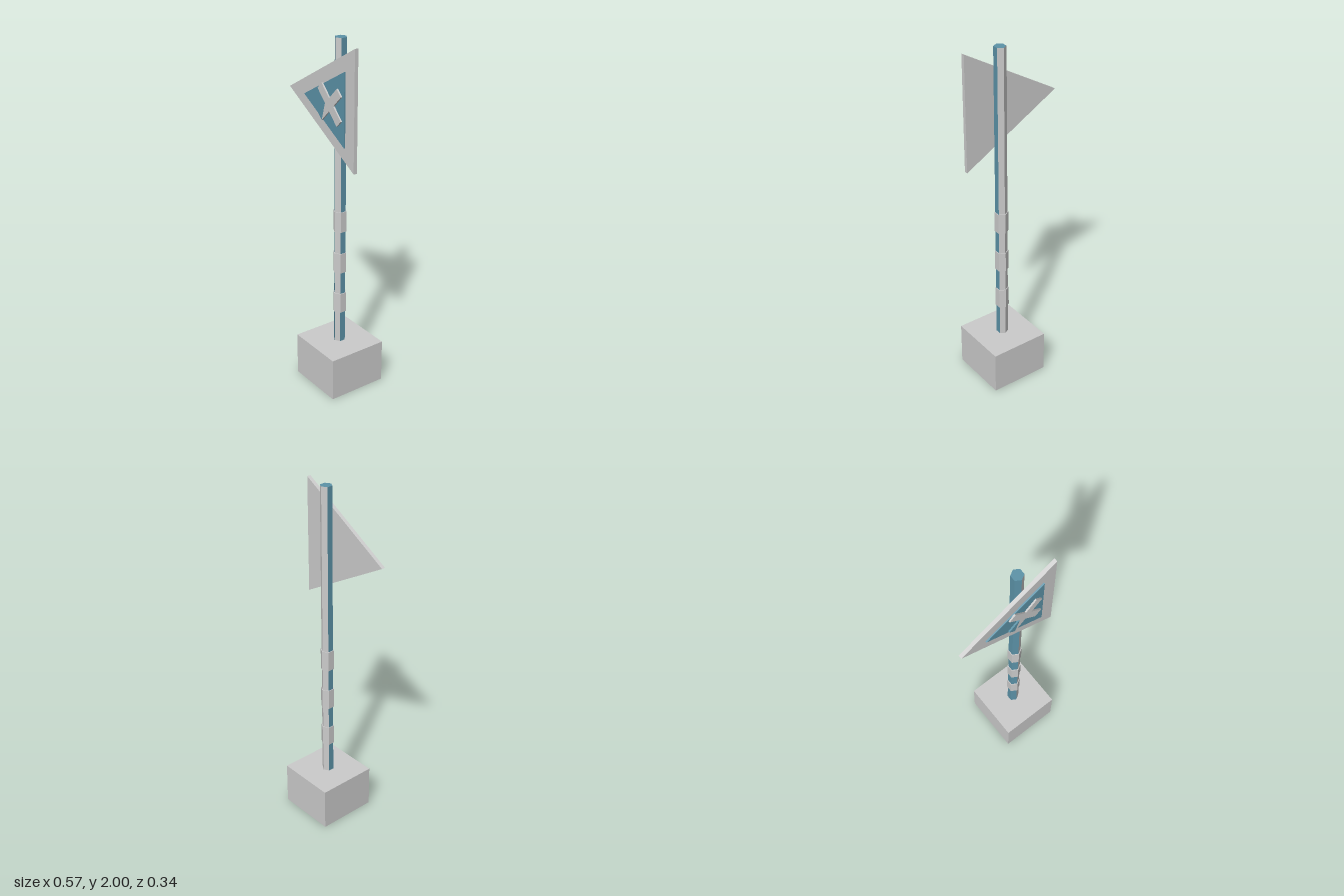
import * as THREE from 'three';

const grey = new THREE.MeshStandardMaterial({ color: 0xcccccc, flatShading: true, side: THREE.DoubleSide });
const blue = new THREE.MeshStandardMaterial({ color: 0x5c93a8, flatShading: true, side: THREE.DoubleSide });

const POST_X = 0.094, POST_Z = -0.002, POST_R = 0.033, HEIGHT = 2;

export function createModel() {
  const model = new THREE.Group();

  function add(parent, name, geometry, material, x = 0, y = 0, z = 0) {
    const mesh = new THREE.Mesh(geometry, material);
    mesh.name = name;
    mesh.position.set(x, y, z);
    parent.add(mesh);
    return mesh;
  }

  // Flat plate cut from a polygon outline
  function plate(points, depth) {
    const shape = new THREE.Shape(points.map(([x, y]) => new THREE.Vector2(x, y)));
    return new THREE.ExtrudeGeometry(shape, { depth, bevelEnabled: false });
  }

  // Base block, hollow and open underneath (the -y face is left out)
  const baseGeometry = new THREE.BoxGeometry(0.345, 0.25, 0.345);
  const faces = Array.from(baseGeometry.index.array);
  faces.splice(18, 6);
  baseGeometry.setIndex(faces);
  baseGeometry.clearGroups();
  add(model, 'base', baseGeometry, grey, POST_X, 0.125, POST_Z);

  // Six-sided post, with some of its sides painted
  const post = new THREE.Group();
  post.name = 'post';
  post.position.set(POST_X, 0, POST_Z);
  model.add(post);
  const paintedSides = [1, 4, 5];
  for (let i = 0; i < 6; i++) {
    const side = new THREE.CylinderGeometry(POST_R, POST_R, HEIGHT, 1, 1, true, i * Math.PI / 3, Math.PI / 3);
    add(post, 'postSide', side, paintedSides.includes(i) ? blue : grey, 0, HEIGHT / 2, 0);
  }
  const cap = new THREE.CircleGeometry(POST_R, 6, Math.PI / 2);
  add(post, 'postTop', cap, blue, 0, HEIGHT, 0).rotation.x = -Math.PI / 2;
  add(post, 'postBottom', cap, grey).rotation.x = Math.PI / 2;

  // Clamping collars
  for (const y of [0.497, 0.745, 0.993]) {
    add(post, 'collar', new THREE.CylinderGeometry(0.038, 0.038, 0.118, 6), grey, 0, y, 0);
  }

  // Triangular sign pointing to the right, with a raised inner panel
  const sign = new THREE.Group();
  sign.name = 'sign';
  model.add(sign);
  add(sign, 'signPlate', plate([[-0.285, 1.66], [0.283, 1.335], [0.283, 1.987]], 0.021), grey, 0, 0, 0.033);
  add(sign, 'signPanel', plate([[-0.14, 1.657], [0.21, 1.456], [0.21, 1.857]], 0.009), blue, 0, 0, 0.053);

  // Diagonal cross; half of its lower arm is painted
  const L = 0.116, h = 0.025;
  const cross = new THREE.Group();
  cross.name = 'cross';
  cross.position.set(POST_X, 1.659, 0.061);
  cross.rotation.z = Math.PI / 4;
  sign.add(cross);
  add(cross, 'crossBars', plate([
    [-L, -h], [-h, -h], [-h, -L], [h, -L], [h, -h], [L, -h],
    [L, h], [h, h], [h, L], [-h, L], [-h, h],
  ], 0.01), grey);
  add(cross, 'crossPaintedTip', plate([[-h, h], [-L, h], [-L, -h]], 0.01), blue);

  return model;
}
